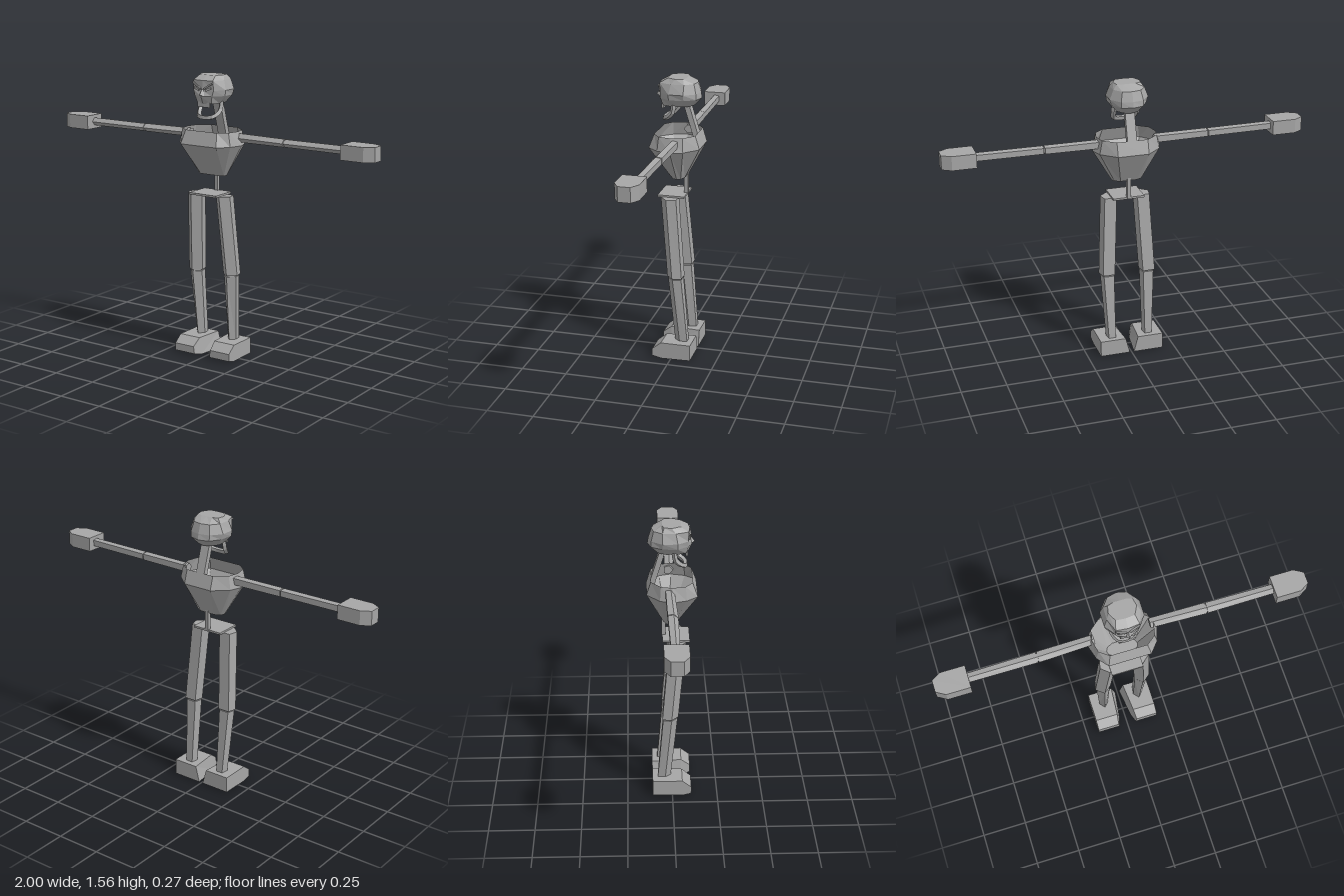
import * as THREE from 'three';

const bone = new THREE.MeshStandardMaterial({ color: 0xa6a6a6, side: THREE.DoubleSide, flatShading: true });
bone.name = 'bone grey';

// Skin a list of equal-length rings of [x, y, z]; faces are turned outward
function loft(name, rings, capStart = true, capEnd = true) {
  const n = rings[0].length, tris = [];
  for (let r = 0; r < rings.length - 1; r++) {
    for (let i = 0; i < n; i++) {
      const j = (i + 1) % n;
      const a = rings[r][i], b = rings[r][j], c = rings[r + 1][j], d = rings[r + 1][i];
      tris.push([a, b, c], [a, c, d]);
    }
  }
  const first = rings[0], last = rings[rings.length - 1];
  for (let i = 1; i < n - 1; i++) {
    if (capStart) tris.push([first[0], first[i + 1], first[i]]);
    if (capEnd) tris.push([last[0], last[i], last[i + 1]]);
  }
  // signed volume about the first ring's centre decides the winding
  const o = new THREE.Vector3();
  first.forEach(p => o.add(new THREE.Vector3(...p)));
  o.divideScalar(n);
  let volume = 0;
  for (const t of tris) {
    const [a, b, c] = t.map(p => new THREE.Vector3(...p).sub(o));
    volume += a.dot(b.cross(c));
  }
  if (volume < 0) tris.forEach(t => t.reverse());
  const g = new THREE.BufferGeometry();
  g.setAttribute('position', new THREE.Float32BufferAttribute(tris.flat(2), 3));
  return finish(name, g);
}

function finish(name, g) {
  g.computeVertexNormals();
  const mesh = new THREE.Mesh(g, bone);
  mesh.name = name;
  return mesh;
}

function box(name, w, h, d, x, y, z) {
  const mesh = finish(name, new THREE.BoxGeometry(w, h, d));
  mesh.position.set(x, y, z);
  return mesh;
}

// Level ring from its +x half, listed front to back as [x, z]
function mirrorRing(y, half) {
  const right = half.filter(p => p[0] > 0).reverse().map(([x, z]) => [-x, z]);
  return [...half, ...right].map(([x, z]) => [x, y, z]);
}

// Five-sided limb section with one edge to the front: [across, forward]
const limbSection = [[0, 1], [1, 0.15], [0.75, -1], [-0.75, -1], [-1, 0.15]];

function legBone(name, s, top, bottom) {
  return loft(name, [top, bottom].map(([x, y, z, rx, rz]) =>
    limbSection.map(([a, f]) => [s * (x + a * rx), y, z + f * rz])));
}

function armBone(name, s, inner, outer) {
  return loft(name, [inner, outer].map(([x, y, z, ry, rz]) =>
    limbSection.map(([a, f]) => [s * x, y + a * ry, z + f * rz])));
}

function makeHead() {
  const head = new THREE.Group();
  head.name = 'head';
  head.add(loft('skull', [
    mirrorRing(1.565, [[0, 0.05], [0.05, 0.045], [0.073, 0.0], [0.065, -0.04], [0.035, -0.05], [0, -0.05]]),
    mirrorRing(1.54, [[0, 0.095], [0.062, 0.088], [0.088, 0.02], [0.085, -0.05], [0.05, -0.095], [0, -0.107]]),
    mirrorRing(1.488, [[0, 0.097], [0.065, 0.085], [0.105, 0.03], [0.105, -0.05], [0.06, -0.108], [0, -0.123]]),
    mirrorRing(1.457, [[0, 0.11], [0.055, 0.087], [0.1, 0.03], [0.095, -0.05], [0.06, -0.11], [0, -0.128]]),
    mirrorRing(1.415, [[0, 0.09], [0.045, 0.075], [0.064, 0.03], [0.064, -0.03], [0.04, -0.072], [0, -0.087]]),
  ]));
  // nose wedge
  head.add(loft('nose', [
    [[0, 1.495, 0.1], [0.006, 1.49, 0.095], [-0.006, 1.49, 0.095]],
    [[0, 1.464, 0.122], [0.018, 1.458, 0.1], [-0.018, 1.458, 0.1]],
  ]));
  // angry brows and slanted eye plates
  for (const s of [1, -1]) {
    const brow = box('brow', 0.062, 0.008, 0.012, s * 0.036, 1.512, 0.094);
    brow.rotation.set(0, s * 0.14, s * 0.55);
    const eye = box('eyePlate', 0.035, 0.012, 0.008, s * 0.036, 1.494, 0.094);
    eye.rotation.set(0, s * 0.18, s * 0.4);
    head.add(brow, eye);
  }
  head.add(box('upperTeeth', 0.075, 0.028, 0.012, 0, 1.41, 0.079));
  // U-shaped jaw hanging below the skull
  const path = [[0.064, 1.425, 0.012], [0.066, 1.385, 0.018], [0.058, 1.357, 0.042], [0.036, 1.342, 0.068]];
  const points = [...path, ...path.slice().reverse().map(([x, y, z]) => [-x, y, z])]
    .map(p => new THREE.Vector3(...p));
  const curve = new THREE.CatmullRomCurve3(points);
  head.add(finish('jaw', new THREE.TubeGeometry(curve, 14, 0.014, 4).toNonIndexed()));
  return head;
}

function makeTorso() {
  const torso = new THREE.Group();
  torso.name = 'torso';
  // hollow ribcage, open at the top
  torso.add(loft('ribcage', [
    mirrorRing(1.27, [[0.1, 0.108], [0.15, 0.07], [0.165, 0.0], [0.15, -0.06], [0.085, -0.112]]),
    mirrorRing(1.195, [[0.115, 0.135], [0.165, 0.075], [0.187, 0.0], [0.165, -0.065], [0.085, -0.135]]),
    mirrorRing(1.02, [[0.065, 0.02], [0.08, 0.01], [0.085, -0.01], [0.075, -0.03], [0.045, -0.045]]),
  ], false, true));
  // slanted neck
  const slab = (y, zc) => [[-0.026, y, zc + 0.015], [0.026, y, zc + 0.015], [0.026, y, zc - 0.015], [-0.026, y, zc - 0.015]];
  torso.add(loft('neck', [slab(1.43, -0.045), slab(1.25, -0.1), slab(1.2, -0.112)]));
  torso.add(box('spine', 0.02, 0.13, 0.021, 0, 0.985, -0.0435));
  torso.add(box('pelvis', 0.175, 0.011, 0.147, 0, 0.92, 0.022));
  return torso;
}

function makeArm(s) {
  const arm = new THREE.Group();
  arm.name = s > 0 ? 'leftArm' : 'rightArm';
  arm.add(armBone('upperArm', s, [0.15, 1.235, -0.012, 0.024, 0.024], [0.452, 1.235, -0.005, 0.022, 0.028]));
  arm.add(armBone('elbow', s, [0.45, 1.235, -0.005, 0.016, 0.02], [0.462, 1.235, -0.005, 0.016, 0.02]));
  arm.add(armBone('forearm', s, [0.458, 1.235, -0.005, 0.021, 0.027], [0.83, 1.235, -0.003, 0.022, 0.023]));
  // mitten hand with chamfered fingertips
  const outline = [[0.82, 0.062], [0.95, 0.062], [1, 0.032], [1, -0.032], [0.95, -0.062], [0.82, -0.062]];
  arm.add(loft('hand', [1.195, 1.273].map(y => outline.map(([x, z]) => [s * x, y, z]))));
  return arm;
}

function makeLeg(s) {
  const leg = new THREE.Group();
  leg.name = s > 0 ? 'leftLeg' : 'rightLeg';
  leg.add(legBone('thigh', s, [0.092, 0.916, 0.029, 0.045, 0.046], [0.115, 0.473, -0.01, 0.045, 0.044]));
  leg.add(legBone('knee', s, [0.113, 0.476, -0.01, 0.032, 0.034], [0.113, 0.455, -0.01, 0.032, 0.034]));
  leg.add(legBone('shin', s, [0.113, 0.464, -0.01, 0.039, 0.04], [0.105, 0.085, -0.045, 0.026, 0.036]));
  // foot: sections from heel to toe as [z, top, bottom, inner top x, inner bottom x]
  const sections = [
    [-0.11, 0.095, 0.005, 0.036, 0.012],
    [0.055, 0.095, 0.002, 0.05, 0.035],
    [0.105, 0.055, 0.014, 0.056, 0.05],
  ];
  leg.add(loft('foot', sections.map(([z, t, b, it, ib]) =>
    [[s * 0.18, b, z], [s * 0.18, t, z], [s * it, t, z], [s * ib, b, z]])));
  return leg;
}

export function createModel() {
  const model = new THREE.Group();
  model.name = 'skeletonFigure';
  model.add(makeHead(), makeTorso());
  for (const s of [1, -1]) model.add(makeArm(s), makeLeg(s));
  return model;
}
